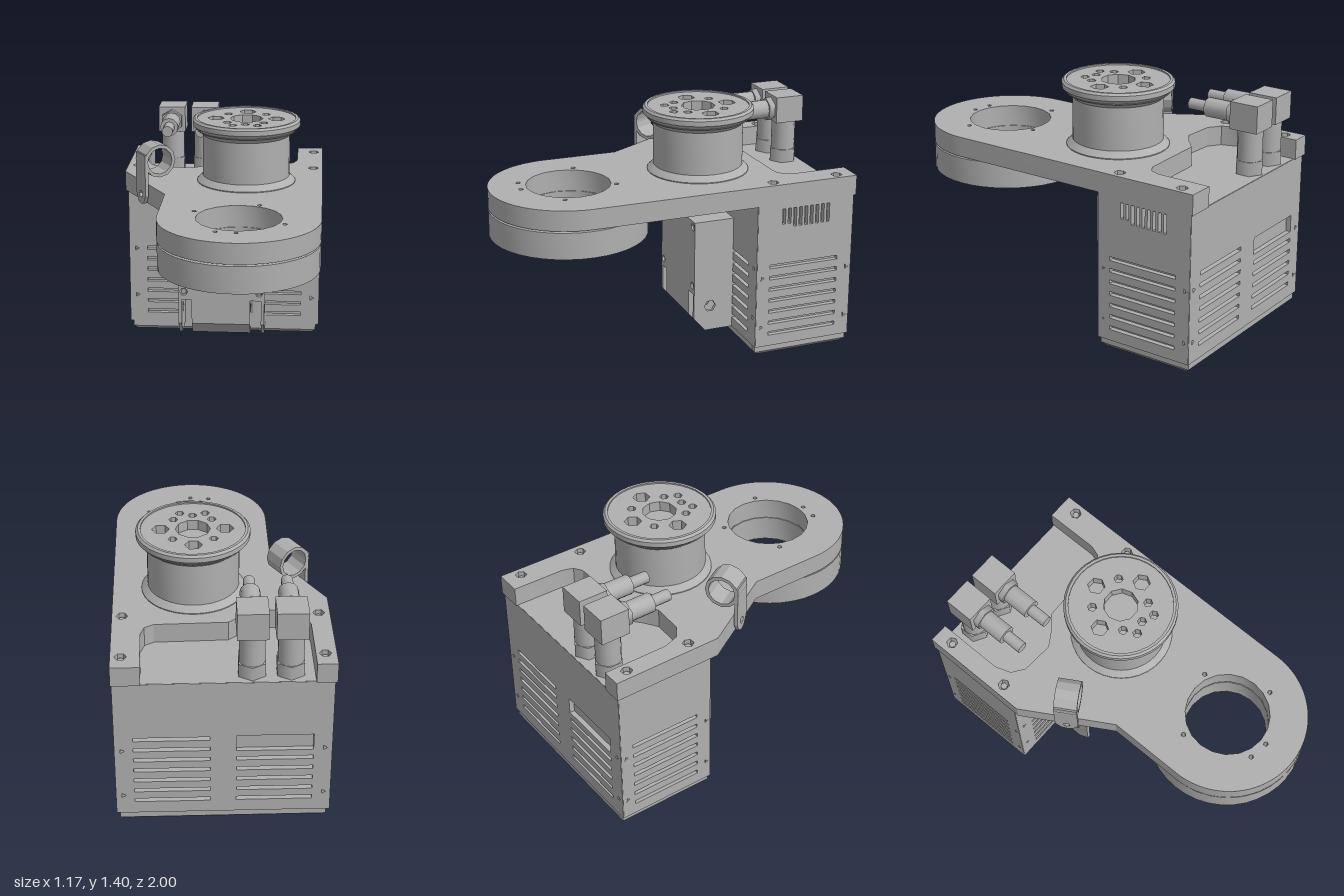
import * as THREE from 'three';
import { toCreasedNormals } from 'three/addons/utils/BufferGeometryUtils.js';

const metal = new THREE.MeshStandardMaterial({ color: 0xb0b0b0 });
metal.name = 'grey metal';

export function createModel() {
  const root = new THREE.Group();

  const add = (name, geo, x = 0, y = 0, z = 0, parent = root) => {
    const m = new THREE.Mesh(geo, metal);
    m.name = name;
    m.position.set(x, y, z);
    parent.add(m);
    return m;
  };
  const box = (name, x0, x1, y0, y1, z0, z1, parent) =>
    add(name, new THREE.BoxGeometry(x1 - x0, y1 - y0, z1 - z0), (x0 + x1) / 2, (y0 + y1) / 2, (z0 + z1) / 2, parent);
  const poly = (pts) => new THREE.Shape(pts.map(([x, y]) => new THREE.Vector2(x, y)));
  const rect = (x0, x1, y0, y1) => poly([[x0, y0], [x1, y0], [x1, y1], [x0, y1]]);
  const ngon = (x, y, r, n = 6) => poly(Array.from({ length: n }, (_, i) => {
    const a = (i / n) * Math.PI * 2;
    return [x + r * Math.cos(a), y + r * Math.sin(a)];
  }));
  const extrude = (shape, depth, holes = []) => {
    shape.holes.push(...holes);
    return toCreasedNormals(new THREE.ExtrudeGeometry(shape, { depth, bevelEnabled: false, curveSegments: 20 }), 0.5);
  };
  // Horizontal slab: shape given in x,z and extruded downwards from its top
  const slab = (name, shape, top, depth, holes) =>
    add(name, extrude(shape, depth, holes).rotateX(Math.PI / 2), 0, top, 0);

  // Mounting plate with an open pocket at the back
  const ringX = 0.14, ringZ = 0.55;
  const plate = new THREE.Shape();
  plate.moveTo(0.585, -1);
  plate.lineTo(0.585, ringZ);
  plate.absarc(ringX, ringZ, 0.445, 0, Math.PI, false);
  [[-0.305, 0.12], [-0.59, -0.36], [-0.59, -1], [-0.48, -1], [-0.48, -0.62], [-0.45, -0.53], [-0.38, -0.48],
    [-0.2, -0.47], [-0.12, -0.52], [-0.04, -0.59], [0.36, -0.6], [0.41, -0.63], [0.43, -0.69], [0.43, -1]]
    .forEach(([x, z]) => plate.lineTo(x, z));
  const corners = [[-0.53, -0.9], [0.53, -0.9], [-0.53, -0.51], [0.53, -0.51]];
  slab('mounting plate', plate, 1.025, 0.115, [
    ngon(ringX, ringZ, 0.235, 20),
    ...corners.map(([x, z]) => ngon(x, z, 0.032)),
    ...[[-0.11, 0.44], [0.24, 0.305], [0.39, 0.65], [0.14, 0.82], [0.03, 0.805]].map(([x, z]) => ngon(x, z, 0.014, 5)),
  ]);
  corners.forEach(([x, z]) => add('plate screw', new THREE.CylinderGeometry(0.02, 0.02, 0.1, 6), x, 0.955, z));

  // Ring hanging below the front of the plate
  slab('ring spacer', ngon(ringX, ringZ, 0.3, 28), 0.912, 0.02, [ngon(ringX, ringZ, 0.24, 20)]);
  slab('lower ring', ngon(ringX, ringZ + 0.003, 0.443, 40), 0.9, 0.15, [
    ngon(ringX, ringZ, 0.235, 20),
    ...[0.4, 1.97, 3.54, 5.11].map((a) => ngon(ringX + 0.35 * Math.cos(a), ringZ + 0.35 * Math.sin(a), 0.028)),
  ]);

  // Pulley with a drilled face
  const hx = 0.14, hz = -0.22;
  const profile = [[0.287, 1.024], [0.287, 1.03], [0.253, 1.062], [0.253, 1.305], [0.312, 1.36], [0.312, 1.388],
    [0.3, 1.4], [0.285, 1.4], [0.285, 1.385]].map(([r, y]) => new THREE.Vector2(r, y));
  add('pulley', toCreasedNormals(new THREE.LatheGeometry(profile, 36), 0.4), hx, 0, hz);
  const small = [[-0.11, -0.11], [0.11, -0.11], [-0.105, 0.105], [0.105, 0.105], [-0.07, 0.175], [0, 0.15], [0.07, 0.175]];
  slab('pulley face', ngon(hx, hz, 0.288, 36), 1.392, 0.06, [
    ngon(hx, hz, 0.095, 10),
    ...[[0, -0.175], [-0.175, 0], [0.175, 0]].map(([x, z]) => ngon(hx + x, hz + z, 0.048)),
    ...small.map(([x, z]) => ngon(hx + x, hz + z, 0.025)),
  ]);
  add('pulley web', new THREE.CylinderGeometry(0.25, 0.25, 0.02, 36), hx, 1.325, hz);

  // Housing walls: slotted panels with a lining behind the slots
  const wall = (name, width, x, z, turn, holes) => {
    const g = new THREE.Group();
    g.name = name;
    g.position.set(x, 0, z);
    g.rotation.y = turn;
    const h = width / 2;
    add(name + ' panel', extrude(rect(-h, h, 0.06, 0.91), 0.03, holes), 0, 0, -0.03, g);
    box(name + ' lining', -h + 0.03, h - 0.03, 0.06, 0.9, -0.045, -0.029, g);
    root.add(g);
  };
  const slots = (x0, x1, top, count) => Array.from({ length: count }, (_, i) => {
    const y = top - i * 0.068;
    return rect(x0, x1, y - 0.022, y);
  });
  const screws = (u, ys) => ys.flatMap((y) => [ngon(-u, y, 0.016, 3), ngon(u, y, 0.016, 3)]);
  const sideSlots = () => [...slots(-0.215, 0.205, 0.555, 7), ...screws(0.265, [0.48, 0.18])];
  const vents = Array.from({ length: 9 }, (_, i) => {
    const u = -0.145 + i * 0.034;
    return rect(u, u + 0.018, i < 2 ? 0.79 : 0.77, 0.88);
  });
  wall('front wall', 1.155, 0, -0.4, 0, [...slots(-0.47, -0.25, 0.545, 7), ...slots(0.25, 0.47, 0.545, 7), ...screws(0.535, [0.53, 0.23])]);
  wall('back wall', 1.155, 0, -0.99, Math.PI, [
    ...slots(-0.48, -0.07, 0.565, 7), rect(0.07, 0.48, 0.47, 0.57), ...slots(0.07, 0.48, 0.43, 5), ...screws(0.54, [0.48, 0.18])]);
  wall('right wall', 0.585, 0.58, -0.695, Math.PI / 2, [...sideSlots(), ...vents]);
  wall('left wall', 0.585, -0.58, -0.695, -Math.PI / 2, sideSlots());
  box('housing lid', -0.575, 0.575, 0.88, 0.912, -0.988, -0.402);

  // Chamfered base frame with three openings
  const frame = rect(-0.54, 0.54, -0.96, -0.43);
  frame.holes.push(...[-0.35, 0, 0.35].map((x) => rect(x - 0.15, x + 0.15, -0.9, -0.49)));
  add('base frame', new THREE.ExtrudeGeometry(frame, {
    depth: 0.04, bevelThickness: 0.022, bevelSize: 0.022, bevelSegments: 1,
  }).rotateX(Math.PI / 2), 0, 0.062, 0);
  box('base lip', -0.46, 0.53, 0.03, 0.06, -0.425, -0.405);

  // Front cover: profile in z,y extruded across x
  const across = (name, pts, x0, x1, hole) => {
    const geo = extrude(poly(pts.map(([z, y]) => [-z, y])), x1 - x0, hole ? [ngon(0.26, 0.21, 0.035)] : []);
    add(name, geo.rotateY(Math.PI / 2), x0, 0, 0);
  };
  const foot = (top) => [[-0.16, top], [-0.4, top], [-0.4, 0.06], [-0.23, 0.06], [-0.16, 0.14]];
  across('cover core', foot(0.29), -0.18, 0.17, true);
  across('cover ear', foot(0.29), -0.26, -0.24, true);
  across('cover ear', foot(0.29), 0.235, 0.255, true);
  add('cover', extrude(rect(-0.26, 0.255, 0.29, 0.735), 0.24,
    [-0.228, 0.223].flatMap((x) => [0.34, 0.7].map((y) => ngon(x, y, 0.024)))), 0, 0, -0.4);
  for (const x of [-0.228, 0.223]) for (const y of [0.34, 0.7]) {
    add('cover screw', new THREE.CylinderGeometry(0.017, 0.017, 0.2, 6).rotateX(Math.PI / 2), x, y, -0.27);
  }

  // Two elbow connectors standing in the pocket
  for (const x of [-0.352, -0.15]) {
    const g = new THREE.Group();
    g.name = 'elbow connector';
    g.position.set(x, 0, -0.895);
    root.add(g);
    box('elbow block', -0.082, 0.082, 1.165, 1.32, -0.085, 0.085, g);
    add('elbow post', new THREE.CylinderGeometry(0.07, 0.07, 0.27, 14), 0, 1.04, 0, g);
    add('post nut', new THREE.CylinderGeometry(0.082, 0.082, 0.08, 6), 0, 0.95, 0, g);
    const stub = (name, r, z0, z1, n) =>
      add(name, new THREE.CylinderGeometry(r, r, z1 - z0, n).rotateX(Math.PI / 2), 0, 1.235, (z0 + z1) / 2, g);
    stub('plug nut', 0.07, 0.08, 0.12, 6);
    stub('plug body', 0.055, 0.12, 0.27, 12);
    stub('plug tip', 0.033, 0.27, 0.385, 10);
  }

  // Cable clip on the slanted edge: local z points outward, x runs along the edge
  const clip = new THREE.Group();
  clip.name = 'cable clip';
  clip.position.set(-0.45, 0, -0.115);
  clip.rotation.y = Math.atan2(-0.86, 0.51);
  root.add(clip);
  const strap = poly([[-0.065, 1.2], [-0.065, 0.96], [-0.035, 0.91], [0, 0.9], [0.035, 0.91], [0.065, 0.96], [0.065, 1.2]]);
  add('clip strap', extrude(strap, 0.02, [ngon(0, 0.96, 0.022)]), 0, 0, 0, clip);
  const loop = extrude(ngon(-0.075, 1.16, 0.097, 12), 0.13, [ngon(-0.075, 1.16, 0.077, 12)]);
  add('clip loop', loop.rotateY(-Math.PI / 2), 0.065, 0, 0, clip);

  return root;
}
